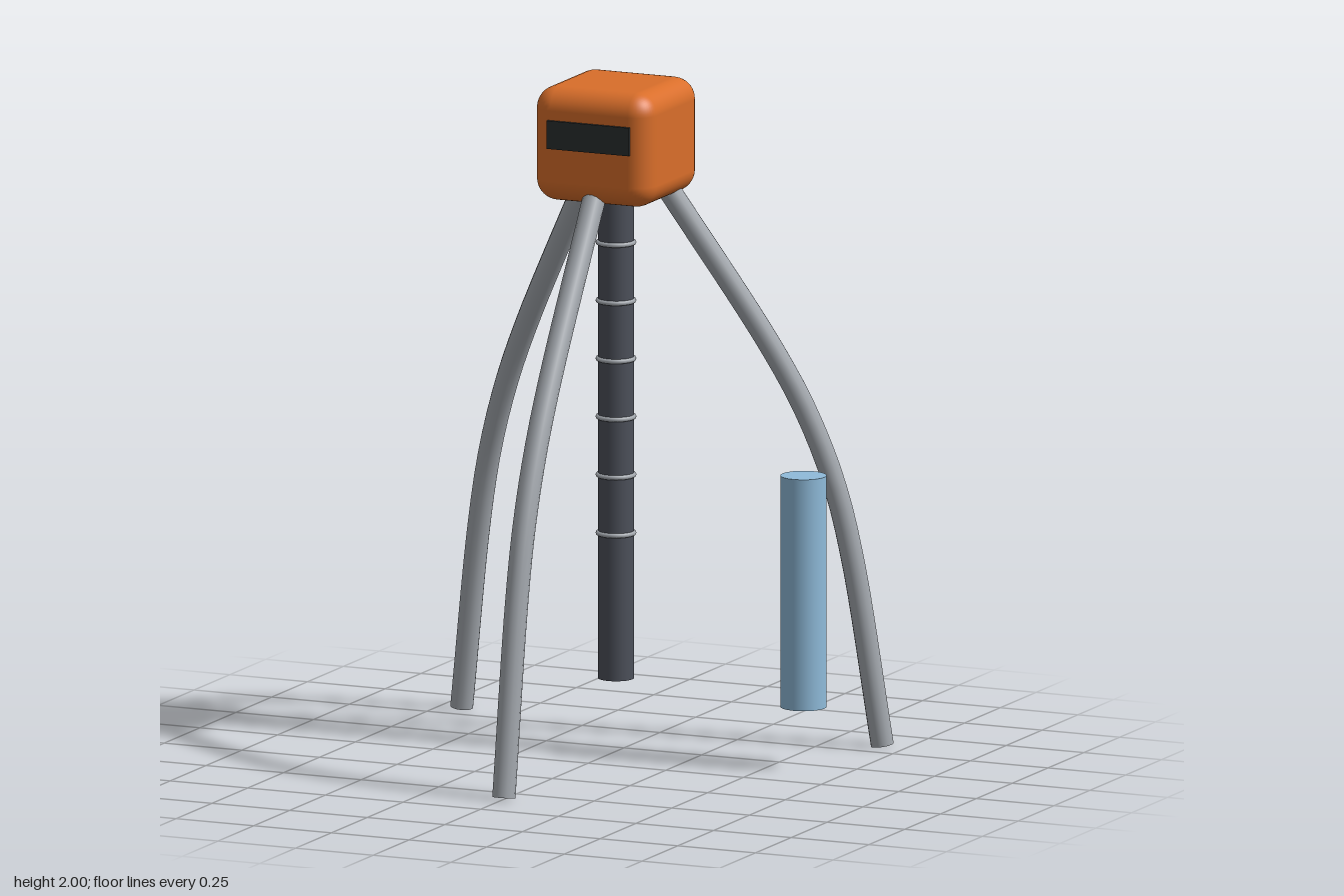
import * as THREE from 'three';
import { RoundedBoxGeometry } from 'three/addons/geometries/RoundedBoxGeometry.js';

const material = (name, color) => {
  const m = new THREE.MeshStandardMaterial({ color });
  m.name = name;
  return m;
};

export function createModel() {
  const orange = material('orange housing', 0xd96e2a);
  const dark = material('dark display', 0x2a2f30);
  const steel = material('light steel', 0xa3a8ae);
  const graphite = material('graphite', 0x4c505a);
  const blue = material('pale blue', 0x8fbbda);

  const group = new THREE.Group();
  const axisZ = -0.194;
  const legRadius = 0.034;

  const add = (parent, name, geometry, mat, x = 0, y = 0, z = 0) => {
    const mesh = new THREE.Mesh(geometry, mat);
    mesh.name = name;
    mesh.position.set(x, y, z);
    parent.add(mesh);
    return mesh;
  };

  // Housing with its display plate
  add(group, 'housing', new RoundedBoxGeometry(0.38, 0.34, 0.38, 5, 0.065), orange, 0, 1.83, axisZ);
  add(group, 'display', new THREE.BoxGeometry(0.264, 0.084, 0.0095), dark, 0, 1.865, 0.0005);

  // Hanging probe with evenly spaced rings
  add(group, 'probe', new THREE.CylinderGeometry(0.053, 0.053, 1.46, 24), graphite, 0, 0.95, axisZ);
  const ring = new THREE.TorusGeometry(0.053, 0.007, 8, 28).rotateX(Math.PI / 2);
  for (let i = 0; i < 6; i++) {
    add(group, 'probeRing', ring, steel, 0, 1.52 - i * 0.1733, axisZ);
  }

  // Three bowed legs spaced 120 degrees apart, one pointing forward
  const curve = new THREE.CatmullRomCurve3([
    [0.145, 1.69], [0.455, 1.2], [0.56, 1.0], [0.64, 0.79], [0.695, 0.56], [0.782, 0.006],
  ].map(([d, y]) => new THREE.Vector3(0, y, d)));
  const tube = new THREE.TubeGeometry(curve, 28, legRadius, 14, false);
  const cap = new THREE.CircleGeometry(legRadius, 14);
  for (let i = 0; i < 3; i++) {
    const leg = new THREE.Group();
    leg.name = ['frontLeg', 'backLeftLeg', 'backRightLeg'][i];
    leg.position.z = axisZ;
    leg.rotation.y = (i * Math.PI * 2) / 3;
    add(leg, 'legTube', tube, steel);
    for (const t of [0, 1]) {
      const p = curve.getPoint(t);
      const end = add(leg, t ? 'foot' : 'legTop', cap, steel, p.x, p.y, p.z);
      const outward = curve.getTangent(t).multiplyScalar(t ? 1 : -1);
      end.quaternion.setFromUnitVectors(new THREE.Vector3(0, 0, 1), outward);
    }
    group.add(leg);
  }

  // Separate sample cylinder beside the left leg
  add(group, 'sampleCylinder', new THREE.CylinderGeometry(0.068, 0.068, 0.69, 20), blue, 0.604, 0.53, axisZ);

  return group;
}
